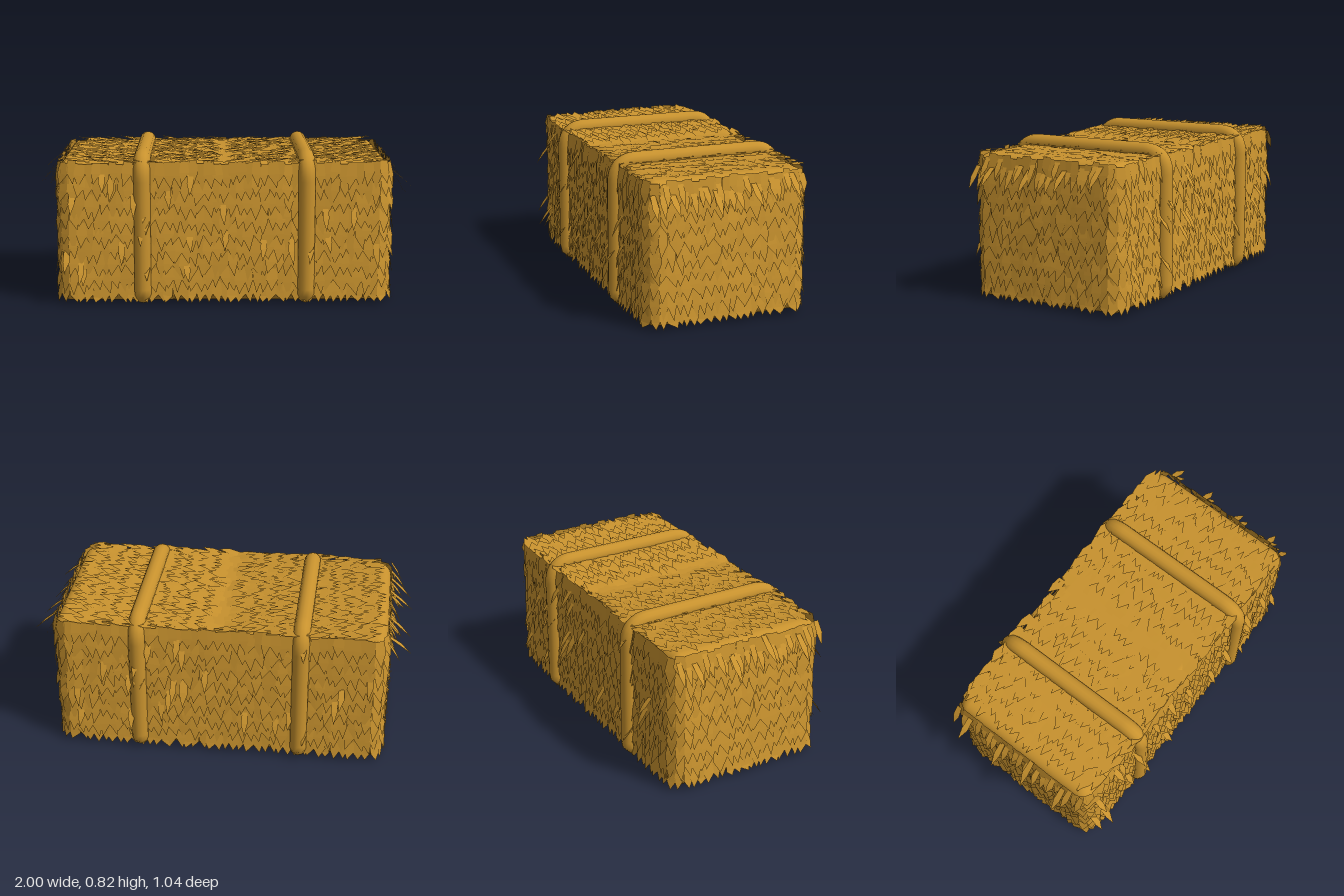
import * as THREE from 'three';
import { RoundedBoxGeometry } from 'three/addons/geometries/RoundedBoxGeometry.js';

const HALF_X = 0.875, HALF_Z = 0.43, CORNER = 0.08, TOP = 0.762;
const V = (x, y, z) => new THREE.Vector3(x, y, z);

// small seeded generator, so every build is the same
let seed = 7;
const rand = (a = 0, b = 1) => {
  seed = (seed * 16807) % 2147483647;
  return a + (b - a) * (seed / 2147483647);
};

// one tapered straw blade: lies along dir and lifts its tip along normal
function addBlade(out, root, dir, normal, length, width, lift) {
  const side = dir.clone().cross(normal).normalize();
  const at = (t, s, h) => root.clone().addScaledVector(dir, length * t)
    .addScaledVector(side, width * s).addScaledVector(normal, h);
  const skew = rand(-0.3, 0.3);
  const p = [at(0, 0.4, 0), at(0.5, 0.5, lift * 0.55), at(1, skew, lift),
    at(0.5, -0.5, lift * 0.55), at(0, -0.4, 0)];
  for (const q of p) q.y = Math.max(q.y, 0.012);
  for (const i of [0, 1, 4, 1, 3, 4, 1, 2, 3]) out.push(p[i].x, p[i].y, p[i].z);
}

function bladeMesh(name, positions, material) {
  const geometry = new THREE.BufferGeometry();
  geometry.setAttribute('position', new THREE.Float32BufferAttribute(positions, 3));
  geometry.computeVertexNormals();
  const mesh = new THREE.Mesh(geometry, material);
  mesh.name = name;
  return mesh;
}

// points and outward normals around the rounded plan of the bale
function perimeter(step) {
  const ring = [];
  const ax = HALF_X - CORNER, az = HALF_Z - CORNER;
  const corners = [[ax, az], [-ax, az], [-ax, -az], [ax, -az]];
  corners.forEach(([cx, cz], i) => {
    const start = i * Math.PI / 2;
    for (let k = 0; k < 4; k++) {
      const a = start + (k / 3) * Math.PI / 2;
      const n = V(Math.cos(a), 0, Math.sin(a));
      ring.push({ p: V(cx, 0, cz).addScaledVector(n, CORNER), n });
    }
    const from = ring[ring.length - 1];
    const next = corners[(i + 1) % 4];
    const to = V(next[0], 0, next[1]).addScaledVector(from.n, CORNER);
    const count = Math.round(from.p.distanceTo(to) / step);
    for (let k = 1; k < count; k++) {
      ring.push({ p: from.p.clone().lerp(to, k / count), n: from.n });
    }
  });
  return ring;
}

export function createModel() {
  seed = 7;
  const straw = new THREE.MeshStandardMaterial({ color: 0xc8922e, side: THREE.DoubleSide });
  straw.name = 'straw';
  const bale = new THREE.Group();
  bale.name = 'strawBale';

  // solid core
  const core = new THREE.Mesh(
    new RoundedBoxGeometry(HALF_X * 2, 0.755, HALF_Z * 2, 4, 0.06), straw);
  core.position.y = 0.01 + 0.755 / 2;
  core.name = 'core';
  bale.add(core);

  // overlapping rows of blades hanging down the four sides
  const down = V(0, -1, 0);
  const ring = perimeter(0.042);
  const sides = [];
  for (let row = 0; row < 9; row++) {
    for (const { p, n } of ring) {
      const root = p.clone().addScaledVector(n, 0.002);
      root.y = 0.775 - row * 0.08 + rand(-0.025, 0.0);
      const dir = down.clone().add(V(n.z, 0, -n.x).multiplyScalar(rand(-0.12, 0.12))).normalize();
      addBlade(sides, root, dir, n, rand(0.11, 0.15), rand(0.045, 0.065), rand(0.012, 0.028));
    }
  }
  bale.add(bladeMesh('sideStraw', sides, straw));

  // top blades, laid from the middle out to both ends
  const up = V(0, 1, 0);
  const top = [];
  for (const s of [-1, 1]) {
    for (let row = 0; row < 10; row++) {
      for (let z = -0.42; z <= 0.421; z += 0.035) {
        const root = V(s * (row * 0.08 + rand(-0.02, 0.02)), TOP, z + rand(-0.01, 0.01));
        const dir = V(s, 0, rand(-0.12, 0.12)).normalize();
        addBlade(top, root, dir, up, rand(0.1, 0.14), rand(0.04, 0.06), rand(0.01, 0.022));
      }
    }
  }
  bale.add(bladeMesh('topStraw', top, straw));

  // loose blades sticking out of the ends and long sides
  const loose = [];
  for (const s of [-1, 1]) {
    const end = V(s, 0, 0), face = V(0, 0, s);
    for (let i = 0; i < 24; i++) {
      const z = -0.4 + i * 0.035 + rand(-0.01, 0.01);
      const lift = i % 6 === 2 ? 0.125 : rand(0.04, 0.09);
      addBlade(loose, V(s * HALF_X, rand(0.7, 0.77), z), down, end, rand(0.09, 0.13), 0.035, lift);
    }
    for (let i = 0; i < 26; i++) {
      const root = V(rand(-0.84, 0.84), rand(0.2, 0.75), s * HALF_Z);
      addBlade(loose, root, down, face, rand(0.1, 0.14), 0.035, rand(0.05, 0.09));
    }
  }
  bale.add(bladeMesh('looseStraw', loose, straw));

  // two round straps, wide bends on top and tight ones below
  const z = 0.44, high = 0.775, low = 0.045, big = 0.11, small = 0.04;
  const loop = new THREE.CurvePath();
  const line = (a, b) => loop.add(new THREE.LineCurve3(a, b));
  const bend = (a, b, c) => loop.add(new THREE.QuadraticBezierCurve3(a, b, c));
  line(V(0, low + small, z), V(0, high - big, z));
  bend(V(0, high - big, z), V(0, high, z), V(0, high, z - big));
  line(V(0, high, z - big), V(0, high, big - z));
  bend(V(0, high, big - z), V(0, high, -z), V(0, high - big, -z));
  line(V(0, high - big, -z), V(0, low + small, -z));
  bend(V(0, low + small, -z), V(0, low, -z), V(0, low, small - z));
  line(V(0, low, small - z), V(0, low, z - small));
  bend(V(0, low, z - small), V(0, low, z), V(0, low + small, z));
  const strapGeometry = new THREE.TubeGeometry(loop, 140, 0.045, 14, true);
  for (const [name, x] of [['leftStrap', 0.432], ['rightStrap', -0.432]]) {
    const strap = new THREE.Mesh(strapGeometry, straw);
    strap.name = name;
    strap.position.x = x;
    bale.add(strap);
  }
  return bale;
}
